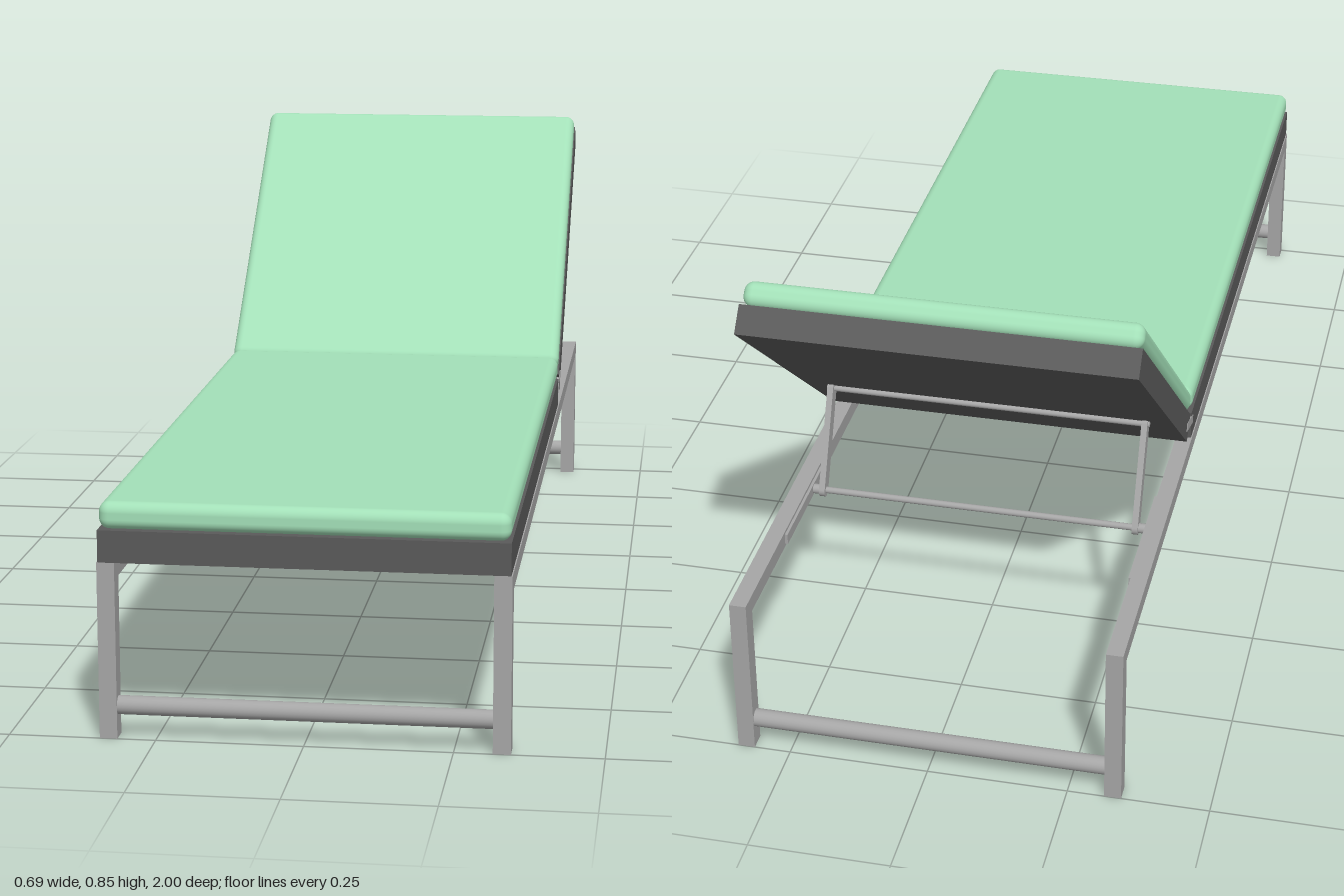
import * as THREE from 'three';
import { RoundedBoxGeometry } from 'three/addons/geometries/RoundedBoxGeometry.js';

const metal = new THREE.MeshStandardMaterial({ color: 0xa6a6a6 });
const dark = new THREE.MeshStandardMaterial({ color: 0x5a5a5a });
const fabric = new THREE.MeshStandardMaterial({ color: 0xa3e0b8 });

function add(parent, name, geometry, material, x, y, z) {
  const mesh = new THREE.Mesh(geometry, material);
  mesh.name = name;
  mesh.position.set(x, y, z);
  parent.add(mesh);
  return mesh;
}

const box = (parent, name, mat, w, h, d, x, y, z) =>
  add(parent, name, new THREE.BoxGeometry(w, h, d), mat, x, y, z);

// Round bar running along x
function rod(parent, name, radius, length, x, y, z) {
  const bar = add(parent, name, new THREE.CylinderGeometry(radius, radius, length, 20), metal, x, y, z);
  bar.rotation.z = Math.PI / 2;
  return bar;
}

// Padded slab lying on top of a thin dark panel; its back bottom edge is at z = -length
function paddedPanel(parent, name, length, panelHeight, cushionHeight) {
  const group = new THREE.Group();
  group.name = name;
  box(group, name + 'Panel', dark, 0.686, panelHeight, length, 0, panelHeight / 2, -length / 2);
  add(group, name + 'Cushion', new RoundedBoxGeometry(0.684, cushionHeight, length, 5, 0.018),
    fabric, 0, panelHeight + cushionHeight / 2, -length / 2);
  parent.add(group);
  return group;
}

export function createModel() {
  const model = new THREE.Group();
  model.name = 'sunLounger';

  // Side frames: a long rail on two legs
  for (const side of [1, -1]) {
    const x = side * 0.33;
    box(model, 'rail', metal, 0.03, 0.03, 2, x, 0.29, 0);
    for (const end of [1, -1]) box(model, 'leg', metal, 0.03, 0.275, 0.032, x, 0.1375, end * 0.984);
  }

  // Low cross bars between the legs
  for (const end of [1, -1]) rod(model, 'crossBar', 0.016, 0.63, 0, 0.055, end * 0.984);

  // Flat seat
  const seat = paddedPanel(model, 'seat', 1.31, 0.055, 0.047);
  seat.position.set(0, 0.305, 1);

  // Raised backrest
  const back = paddedPanel(model, 'backrest', 0.7, 0.052, 0.044);
  back.position.set(0, 0.327, -0.359);
  back.rotation.x = 0.709;

  // Hinges between seat and backrest
  for (const side of [1, -1]) {
    const hinge = box(model, 'hinge', metal, 0.006, 0.016, 0.07, side * 0.341, 0.35, -0.33);
    hinge.rotation.x = 0.3;
  }

  // Prop that holds the backrest up
  const low = new THREE.Vector3(0, 0.29, -0.602);
  const high = new THREE.Vector3(0, 0.462, -0.522);
  const span = high.clone().sub(low);
  const middle = low.clone().add(high).multiplyScalar(0.5);
  for (const side of [1, -1]) {
    const x = side * 0.292;
    const strut = box(model, 'strut', metal, 0.011, span.length(), 0.025, x, middle.y, middle.z);
    strut.rotation.x = Math.atan2(span.z, span.y);
    for (const p of [low, high]) rod(model, 'strutEnd', 0.0125, 0.011, x, p.y, p.z);
    rod(model, 'rodTip', 0.009, 0.018, side * 0.306, low.y, low.z);
    // Notched rest plate on the inside of the rail
    box(model, 'restPlate', metal, 0.006, 0.02, 0.26, side * 0.313, 0.29, -0.64);
  }
  rod(model, 'lowerRod', 0.006, 0.61, 0, low.y, low.z);
  rod(model, 'upperRod', 0.006, 0.6, 0, high.y, high.z);

  return model;
}
